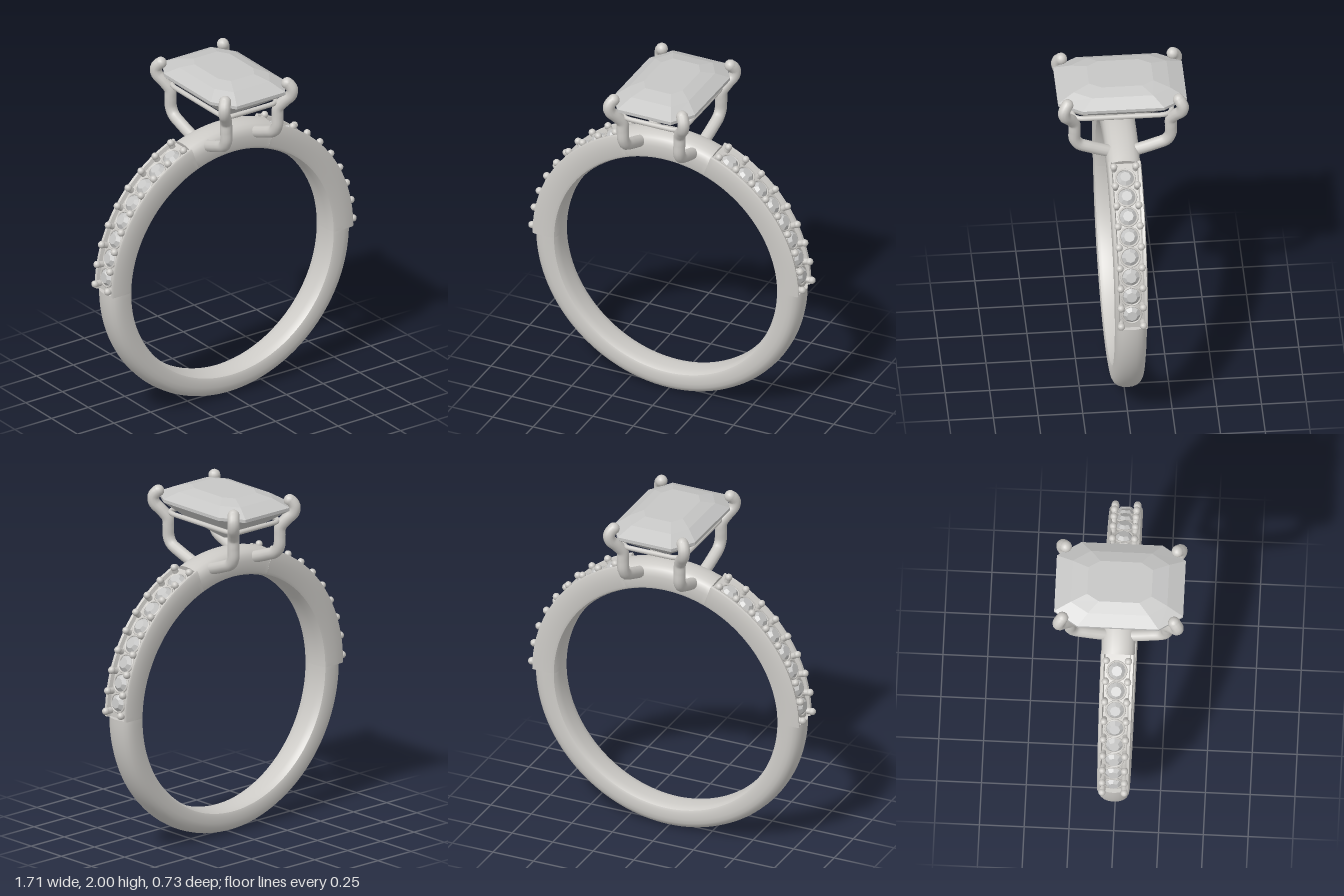
import * as THREE from 'three';
import { toCreasedNormals } from 'three/addons/utils/BufferGeometryUtils.js';

const RAD = Math.PI / 180;
const CENTRE = 0.815; // height of the band's axis

// Skin a list of closed rings of points, capping both ends
function loft(rings) {
  const out = [];
  const tri = (...pts) => pts.forEach((p) => out.push(p.x, p.y, p.z));
  const n = rings[0].length;
  const middle = (ring) => ring.reduce((s, p) => s.add(p), new THREE.Vector3()).divideScalar(n);
  const last = rings[rings.length - 1];
  const c0 = middle(rings[0]), c1 = middle(last);
  for (let i = 0; i < n; i++) {
    const k = (i + 1) % n;
    for (let j = 0; j < rings.length - 1; j++) {
      const a = rings[j], b = rings[j + 1];
      tri(a[i], a[k], b[k]);
      tri(a[i], b[k], b[i]);
    }
    tri(c0, rings[0][k], rings[0][i]);
    tri(c1, last[i], last[k]);
  }
  const geo = new THREE.BufferGeometry();
  geo.setAttribute('position', new THREE.Float32BufferAttribute(out, 3));
  geo.computeVertexNormals();
  return geo;
}

// Half profiles of the band as [radius, z], from the outer centre to the inner centre
const INNER = [[0.705, 0.09], [0.69, 0.084], [0.68, 0.065], [0.676, 0.035], [0.675, 0]];
const ROUNDED = [[0.825, 0], [0.822, 0.03], [0.814, 0.055], [0.8, 0.074], [0.78, 0.086], [0.755, 0.09], ...INNER];
const CHANNEL = [[0.797, 0], [0.797, 0.066], [0.819, 0.072], [0.822, 0.086], [0.812, 0.091], [0.76, 0.091], ...INNER];

// Sweep a profile round the axis; angles in degrees from the top towards +x
function bandArc(half, from, to, steps) {
  const mirrored = half.slice(1, -1).reverse().map(([r, z]) => [r, -z]);
  const profile = [...half, ...mirrored];
  const rings = [];
  for (let j = 0; j <= steps; j++) {
    const a = (from + ((to - from) * j) / steps) * RAD;
    const width = 0.98 + 0.06 * Math.cos(a);
    rings.push(profile.map(([r, z]) => {
      const rr = r + (r > 0.72 ? 0.01 * Math.cos(a) : 0);
      return new THREE.Vector3(rr * Math.sin(a), CENTRE + rr * Math.cos(a), z * width);
    }));
  }
  return toCreasedNormals(loft(rings), 35 * RAD);
}

// Cut-corner rectangle for the steps of the centre gem
function gemRing([x, z, y]) {
  const cx = x * 0.66, cz = z * 0.63;
  return [[x, cz], [x, -cz], [cx, -z], [-cx, -z], [-x, -cz], [-x, cz], [-cx, z], [cx, z]]
    .map(([px, pz]) => new THREE.Vector3(px, y, pz));
}

function flat(geo) {
  const g = geo.toNonIndexed();
  g.computeVertexNormals();
  return g;
}

export function createModel() {
  const metal = new THREE.MeshStandardMaterial({ color: 0xcccac6 });
  metal.name = 'polished metal';
  const crystal = new THREE.MeshStandardMaterial({ color: 0xc6c6c5 });
  crystal.name = 'clear crystal';

  const model = new THREE.Group();
  model.name = 'ring';
  const add = (parent, name, geo, mat) => {
    const mesh = new THREE.Mesh(geo, mat);
    mesh.name = name;
    parent.add(mesh);
    return mesh;
  };

  // Band: plain lower half and crown, channelled shoulders
  add(model, 'lowerBand', bandArc(ROUNDED, 89.5, 270.5, 90), metal);
  add(model, 'topBand', bandArc(ROUNDED, -20, 20, 20), metal);
  add(model, 'rightShoulder', bandArc(CHANNEL, -89.5, -20, 36), metal);
  add(model, 'leftShoulder', bandArc(CHANNEL, 20, 89.5, 36), metal);

  // Small stones with seats and gripping beads along each shoulder
  const stoneGeo = flat(new THREE.CylinderGeometry(0.03, 0.051, 0.022, 8));
  const seatGeo = new THREE.TorusGeometry(0.053, 0.006, 6, 20).rotateX(Math.PI / 2);
  const beadGeo = new THREE.SphereGeometry(0.021, 12, 8);
  const stemGeo = new THREE.CylinderGeometry(0.018, 0.018, 0.045, 10);
  const STEP = 8.07;
  for (const side of [1, -1]) {
    const row = new THREE.Group();
    row.name = side > 0 ? 'leftStoneRow' : 'rightStoneRow';
    model.add(row);
    const place = (name, geo, mat, degrees, r, z) => {
      const a = side * degrees * RAD;
      const mesh = add(row, name, geo, mat);
      mesh.position.set(r * Math.sin(a), CENTRE + r * Math.cos(a), z);
      mesh.rotation.z = -a;
    };
    for (let i = 0; i < 9; i++) {
      const a = 22.5 + i * STEP;
      for (const z of [0.062, -0.062]) {
        place('bead', beadGeo, metal, a, 0.837, z);
        place('beadStem', stemGeo, metal, a, 0.815, z);
      }
      if (i === 8) continue;
      place('smallStone', stoneGeo, crystal, a + STEP / 2, 0.815, 0);
      place('stoneSeat', seatGeo, metal, a + STEP / 2, 0.806, 0);
    }
  }

  // Step-cut centre gem: [half x, half z, y] from the tip to the table
  const steps = [
    [0.001, 0.001, 1.71], [0.032, 0.08, 1.735], [0.16, 0.24, 1.835], [0.25, 0.36, 1.915],
    [0.25, 0.36, 1.933], [0.185, 0.27, 1.975], [0.12, 0.18, 1.998],
  ];
  add(model, 'centreGem', loft(steps.map(gemRing)), crystal);

  // Four bent prongs rising from the band and hooking over the gem's corners
  const path = [
    [0.16, 1.57, 0.04], [0.163, 1.59, 0.1], [0.167, 1.62, 0.18], [0.17, 1.65, 0.245], [0.173, 1.69, 0.268],
    [0.175, 1.75, 0.27], [0.177, 1.8, 0.272], [0.2, 1.845, 0.298], [0.226, 1.885, 0.327],
    [0.231, 1.92, 0.333], [0.222, 1.945, 0.322], [0.212, 1.957, 0.312],
  ];
  const R = 0.034;
  for (const sx of [1, -1]) {
    for (const sz of [1, -1]) {
      const prong = new THREE.Group();
      prong.name = 'prong';
      model.add(prong);
      const pts = path.map(([x, y, z]) => new THREE.Vector3(x * sx, y, z * sz));
      const curve = new THREE.CatmullRomCurve3(pts);
      add(prong, 'prongStem', new THREE.TubeGeometry(curve, 48, R, 12), metal);
      add(prong, 'prongTip', new THREE.SphereGeometry(R, 14, 10), metal).position.copy(pts[pts.length - 1]);
    }
  }

  // Thin rail joining the prongs below the gem
  const quarter = [[0.186, 0.215], [0.172, 0.26], [0.135, 0.278]];
  const flipped = [...quarter].reverse();
  const loop = [
    ...quarter, ...flipped.map(([x, z]) => [-x, z]),
    ...quarter.map(([x, z]) => [-x, -z]), ...flipped.map(([x, z]) => [x, -z]),
  ].map(([x, z]) => new THREE.Vector3(x, 1.835, z));
  const rail = new THREE.CatmullRomCurve3(loop, true, 'catmullrom', 0.15);
  add(model, 'basketRail', new THREE.TubeGeometry(rail, 96, 0.014, 10, true), metal);

  return model;
}
